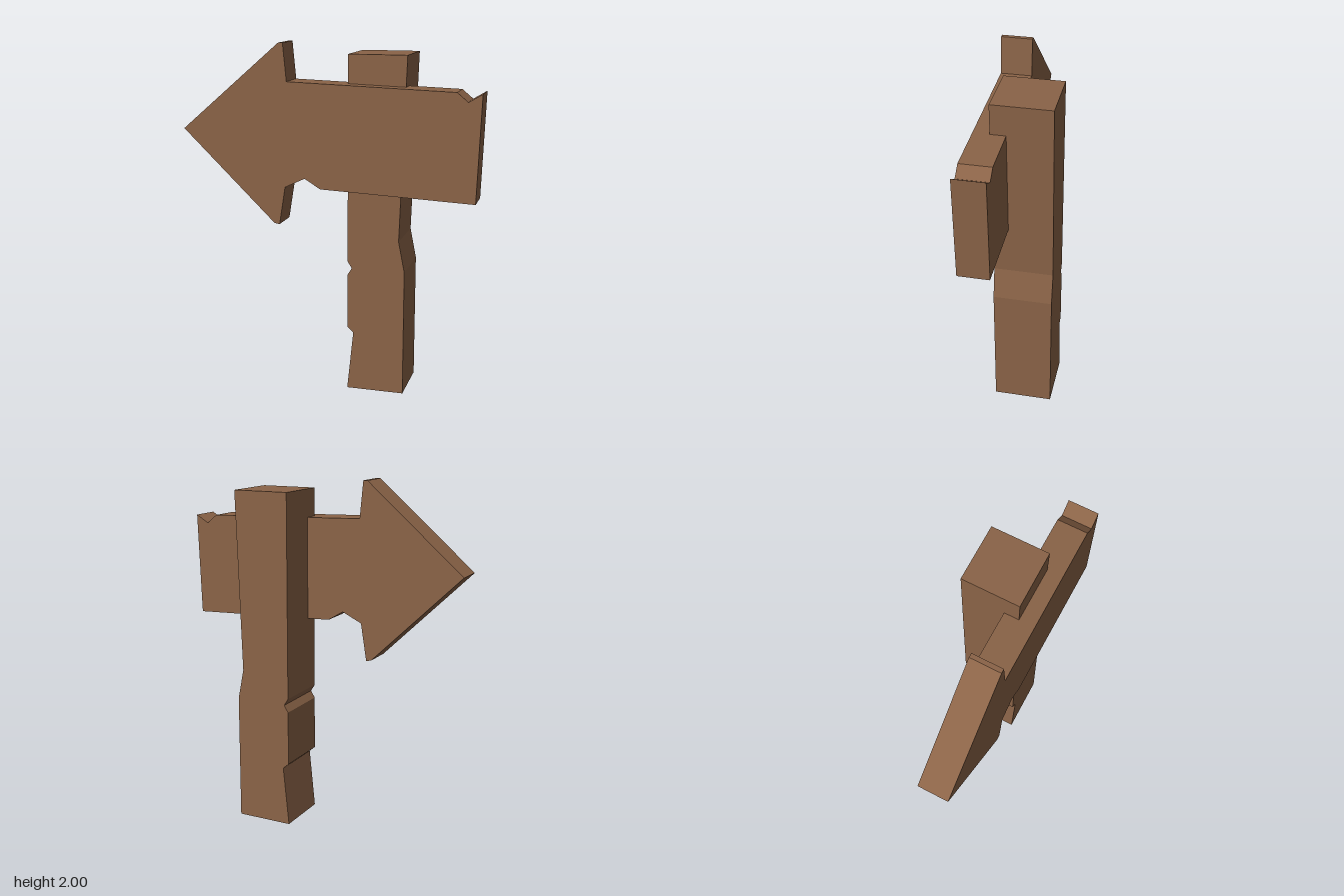
import * as THREE from 'three';

const wood = new THREE.MeshStandardMaterial({ color: 0x8a6347 });
wood.name = 'brown wood';

// Flat outline in x and y, extruded from zBack to zFront
function plank(name, outline, zBack, zFront) {
  const shape = new THREE.Shape(outline.map(([x, y]) => new THREE.Vector2(x, y)));
  const geometry = new THREE.ExtrudeGeometry(shape, { depth: zFront - zBack, bevelEnabled: false });
  geometry.translate(0, 0, zBack);
  const mesh = new THREE.Mesh(geometry, wood);
  mesh.name = name;
  return mesh;
}

export function createModel() {
  const group = new THREE.Group();
  group.name = 'signpost';

  // Square post with chipped edges
  group.add(plank('post', [
    [0.095, 0], [0.425, 0], [0.425, 0.73], [0.39, 0.905], [0.425, 1.94],
    [0.095, 1.94], [0.095, 0.77], [0.12, 0.73], [0.095, 0.69],
    [0.095, 0.375], [0.13, 0.345],
  ], -0.21, 0.12));

  // Arrow board, let into the front of the post, with notches in its edges
  group.add(plank('arrowBoard', [
    [-0.845, 1.51], [-0.31, 0.99], [-0.28, 0.985], [-0.245, 1.2],
    [-0.13, 1.255], [-0.04, 1.2], [0.825, 1.165], [0.845, 1.755],
    [0.77, 1.71], [0.71, 1.76], [-0.23, 1.79], [-0.25, 2], [-0.275, 2],
  ], 0.035, 0.21));

  return group;
}
